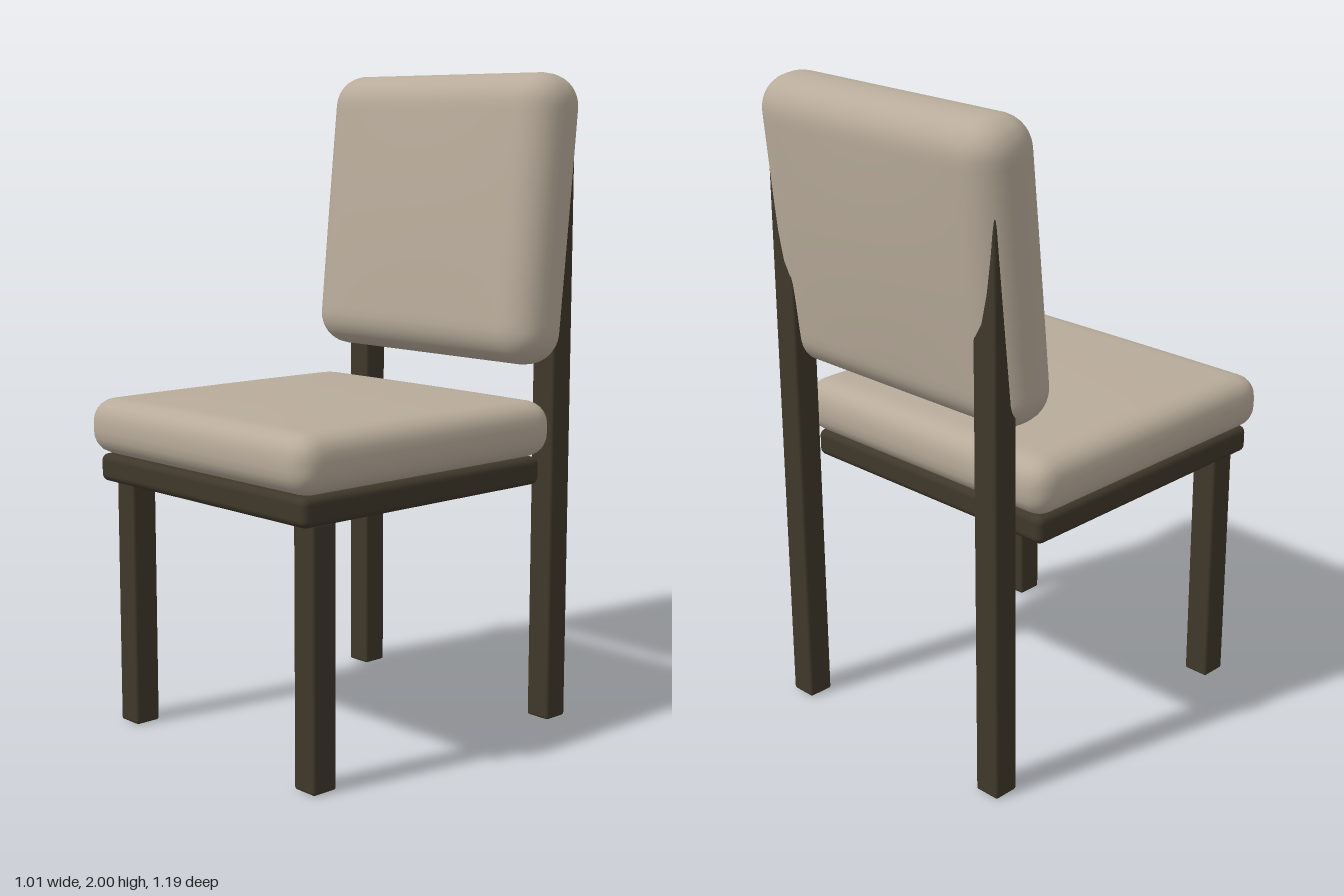
import * as THREE from 'three';
import { mergeVertices } from 'three/addons/utils/BufferGeometryUtils.js';
import { RoundedBoxGeometry } from 'three/addons/geometries/RoundedBoxGeometry.js';

const fabric = new THREE.MeshStandardMaterial({ name: 'beige fabric', color: 0xb8ab9a });
const wood = new THREE.MeshStandardMaterial({ name: 'dark wood', color: 0x3e372a });

// Rounded box with gently crowned faces along one axis (half sizes in hx, hy, hz)
function cushionGeometry(half, radius, axis, crownPlus, crownMinus) {
  const [hx, hy, hz] = half;
  const segs = half.map((h) => Math.ceil(h / 0.0125));
  const box = new THREE.BoxGeometry(hx * 2, hy * 2, hz * 2, ...segs);
  box.deleteAttribute('uv');
  box.deleteAttribute('normal');
  const geo = mergeVertices(box, 1e-5);
  const pos = geo.attributes.position;
  const limit = new THREE.Vector3(hx - radius, hy - radius, hz - radius);
  const low = limit.clone().negate();
  const p = new THREE.Vector3();
  const inner = new THREE.Vector3();
  const others = [0, 1, 2].filter((a) => a !== axis);
  for (let i = 0; i < pos.count; i++) {
    p.fromBufferAttribute(pos, i);
    inner.copy(p).clamp(low, limit);
    p.sub(inner).setLength(radius).add(inner);
    // pillow bulge, fading out to the rim
    const along = p.getComponent(axis) / half[axis];
    const fade = others.reduce((f, a) => f * (1 - (p.getComponent(a) / half[a]) ** 2), 1);
    const bulge = along > 0 ? crownPlus : crownMinus;
    p.setComponent(axis, p.getComponent(axis) + along * bulge * fade);
    pos.setXYZ(i, p.x, p.y, p.z);
  }
  geo.computeVertexNormals();
  return geo;
}

export function createModel() {
  const chair = new THREE.Group();
  chair.name = 'chair';

  const add = (name, geometry, material, x, y, z) => {
    const mesh = new THREE.Mesh(geometry, material);
    mesh.name = name;
    mesh.position.set(x, y, z);
    chair.add(mesh);
    return mesh;
  };

  // Seat frame and cushion
  add('seatFrame', new RoundedBoxGeometry(0.95, 0.085, 0.95, 4, 0.022), wood, 0, 0.8085, 0.085);
  add('seatCushion', cushionGeometry([0.507, 0.085, 0.507], 0.07, 1, 0.012, 0), fabric, 0, 0.937, 0.083);

  // Leaning backrest cushion
  const back = add('backCushion', cushionGeometry([0.48, 0.44, 0.11], 0.1, 2, 0.012, 0.014), fabric, 0, 1.56, -0.446);
  back.rotation.x = -0.1;

  // Front legs, and rear posts that run up into the backrest
  const frontHeight = 0.77;
  const rearHeight = 1.76;
  for (const [side, s] of [['left', 1], ['right', -1]]) {
    add(side + 'FrontLeg', new RoundedBoxGeometry(0.085, frontHeight, 0.085, 2, 0.008), wood,
      s * 0.413, frontHeight / 2, 0.468);
    add(side + 'RearPost', new RoundedBoxGeometry(0.085, rearHeight, 0.082, 2, 0.008), wood,
      s * 0.413, rearHeight / 2, -0.505);
  }
  return chair;
}
